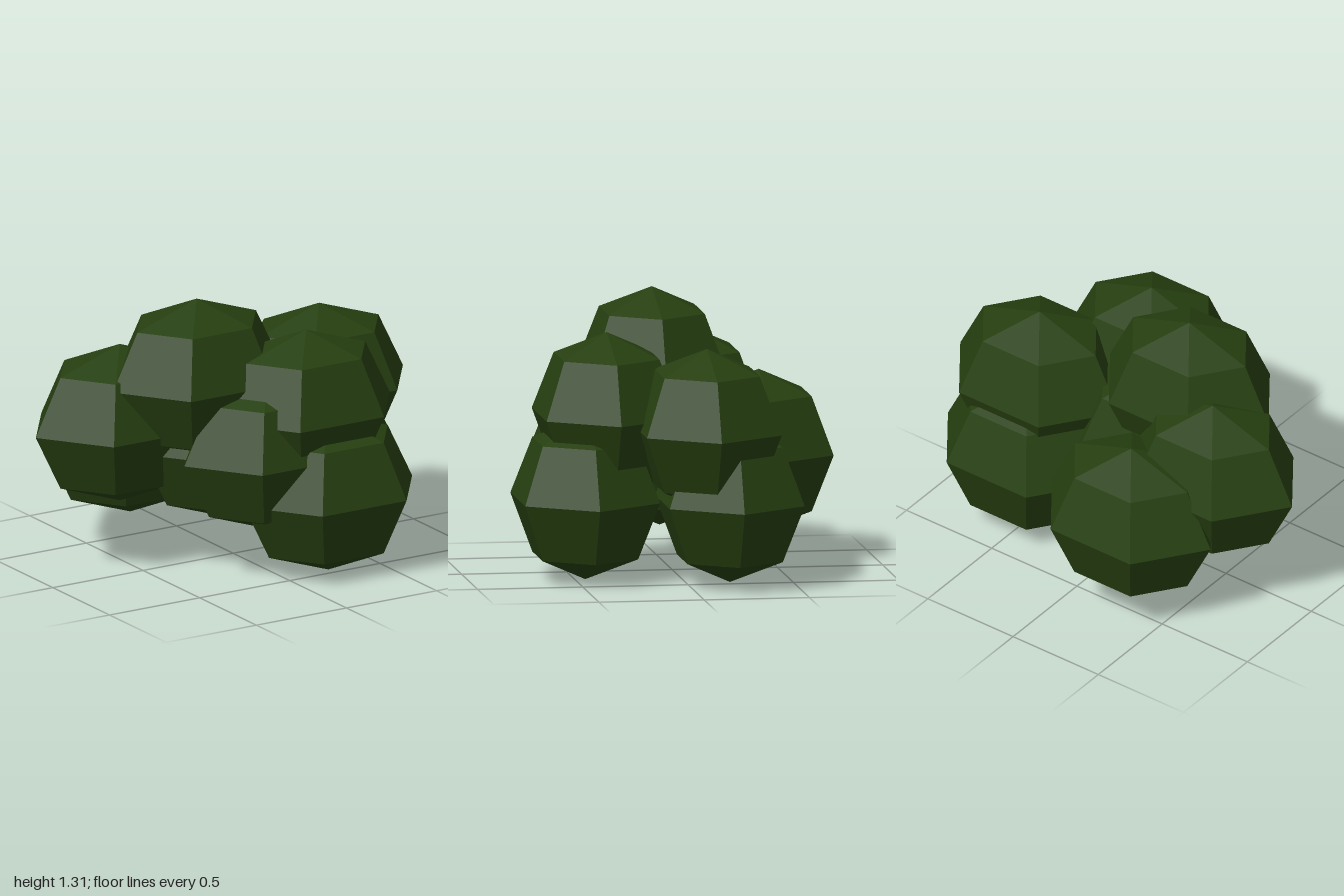
import * as THREE from 'three';

// Low-poly bush: a cluster of overlapping six-sided foliage clumps.
export function createModel() {
  const bush = new THREE.Group();
  bush.name = 'bush';

  const leafGreen = new THREE.MeshStandardMaterial({ color: 0x263f10, flatShading: true });
  leafGreen.name = 'leafGreen';

  // One faceted clump, wider along x than y or z
  const clump = new THREE.SphereGeometry(1, 6, 4);
  clump.scale(0.465, 0.385, 0.37);

  // Clump centres
  const clumps = {
    topClump: [-0.24, 0.93, 0.06],
    rightClump: [-0.535, 0.7, -0.15],
    backClump: [-0.285, 0.52, -0.455],
    frontUpperClump: [0.19, 0.78, 0.34],
    leftUpperClump: [0.53, 0.74, -0.085],
    leftLowerClump: [0.52, 0.4, -0.195],
    frontLowerClump: [0.245, 0.388, 0.45],
    frontInnerClump: [0, 0.593, 0.31],
    coreClump: [-0.07, 0.593, 0.05],
  };

  for (const [name, position] of Object.entries(clumps)) {
    const mesh = new THREE.Mesh(clump, leafGreen);
    mesh.name = name;
    mesh.position.set(...position);
    bush.add(mesh);
  }
  return bush;
}
